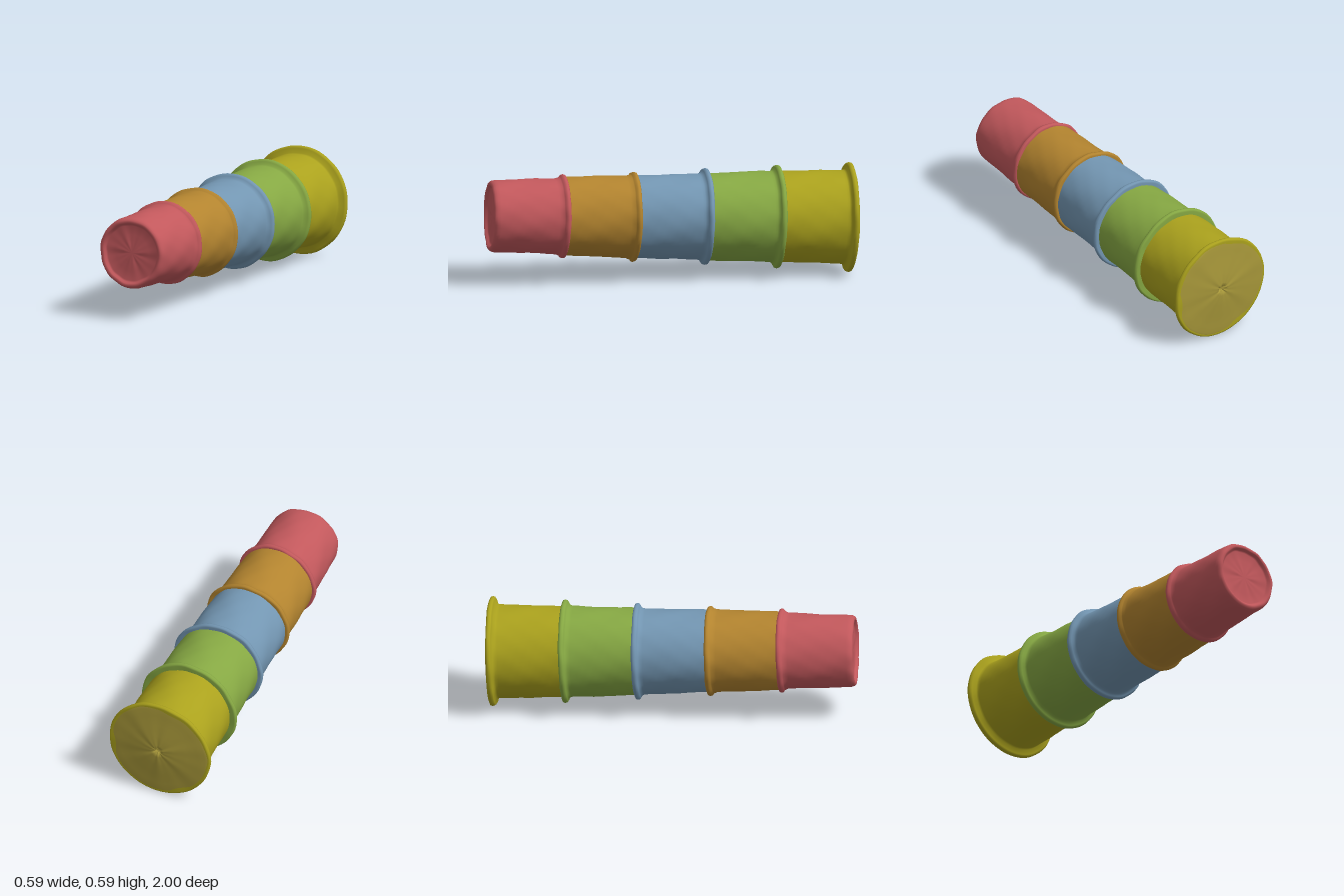
import * as THREE from 'three';
import { mergeVertices } from 'three/addons/utils/BufferGeometryUtils.js';

// Small soft dents that make the surface look hand-moulded
function dent(a, t, seed) {
  return 0.0016 * Math.sin(3 * a + 9 * t + seed) + 0.0012 * Math.sin(7 * a - 23 * t + 2 * seed)
    + 0.0008 * Math.sin(13 * a + 41 * t);
}

// Revolve [radius, distance along axis] points, listed back to front
function revolve(points, seed) {
  let geo = new THREE.LatheGeometry(points.map(([r, t]) => new THREE.Vector2(r, t)), 72);
  geo.deleteAttribute('uv');
  geo.deleteAttribute('normal');
  geo = mergeVertices(geo, 1e-5);
  const p = geo.attributes.position;
  for (let i = 0; i < p.count; i++) {
    const x = p.getX(i), t = p.getY(i), z = p.getZ(i), r = Math.hypot(x, z);
    if (r < 0.01) continue;
    const a = Math.atan2(z, x), d = dent(a, t, seed);
    p.setXYZ(i, x * (1 + d / r), t + d * 0.7, z * (1 + d / r));
  }
  geo.computeVertexNormals();
  return geo;
}

function part(name, points, color, seed) {
  const mesh = new THREE.Mesh(revolve(points, seed),
    new THREE.MeshStandardMaterial({ color, side: THREE.DoubleSide }));
  mesh.name = name;
  return mesh;
}

// Rolled lip at the open back end of a cup
const lip = (b, rb, rim) => [
  [rb - 0.03, b - 0.014], [rim - 0.012, b - 0.016], [rim - 0.003, b - 0.012], [rim, b - 0.002],
  [rim - 0.003, b + 0.008], [rim - 0.012, b + 0.014], [rb + 0.006, b + 0.02], [rb + 0.001, b + 0.032],
];

// Tapered wall from the lip to the next cup
function wall(b, f, rb, rf) {
  const pts = [];
  for (let i = 0; i <= 10; i++) {
    const k = i / 10;
    pts.push([rb + (rf - rb) * k, b + 0.045 + (f - b - 0.045) * k]);
  }
  return pts;
}

export function createModel() {
  const model = new THREE.Group();
  model.name = 'stackedCups';

  // All cups share one slightly tilted axis
  const stack = new THREE.Group();
  stack.name = 'cupStack';
  const back = new THREE.Vector3(0, 0.295, -0.965);
  const axis = new THREE.Vector3(-0.058, 0.075, 1.955).normalize();
  stack.quaternion.setFromUnitVectors(new THREE.Vector3(0, 1, 0), axis);
  stack.position.copy(back).addScaledVector(axis, 0.965);
  model.add(stack);

  const cups = [
    { name: 'redCup', b: 0.595, f: 0.955, rb: 0.203, rf: 0.193, rim: 0.225, color: 0xc2585c },
    { name: 'orangeCup', b: 0.21, f: 0.595, rb: 0.221, rf: 0.21, rim: 0.241, color: 0xb3842f },
    { name: 'blueCup', b: -0.18, f: 0.21, rb: 0.23, rf: 0.221, rim: 0.259, color: 0x7396b2 },
    { name: 'greenCup', b: -0.57, f: -0.18, rb: 0.244, rf: 0.233, rim: 0.277, color: 0x86a843 },
    { name: 'yellowCup', b: -0.96, f: -0.57, rb: 0.251, rf: 0.243, rim: 0.294, color: 0xaba21d },
  ];
  cups.forEach((c, i) => {
    const pts = [...lip(c.b, c.rb, c.rim), ...wall(c.b, c.f, c.rb, c.rf)];
    // Closed, recessed base on the smallest cup
    if (i === 0) {
      pts.push([0.191, 0.97], [0.186, 0.981], [0.179, 0.988], [0.17, 0.99], [0.163, 0.986],
        [0.156, 0.976], [0.148, 0.97], [0.1, 0.969], [0.05, 0.971], [0, 0.971]);
    }
    stack.add(part(c.name, pts, c.color, i * 1.7));
  });

  // Shallow domed cover on the back, with a small pit at its centre
  stack.add(part('backCover', [
    [0, -0.978], [0.012, -0.982], [0.022, -0.994], [0.04, -0.997], [0.1, -0.993],
    [0.17, -0.985], [0.23, -0.979], [0.27, -0.977], [0.284, -0.973],
  ].map(([r, t]) => [r, t]), 0xa8983a, 4));
  return model;
}
